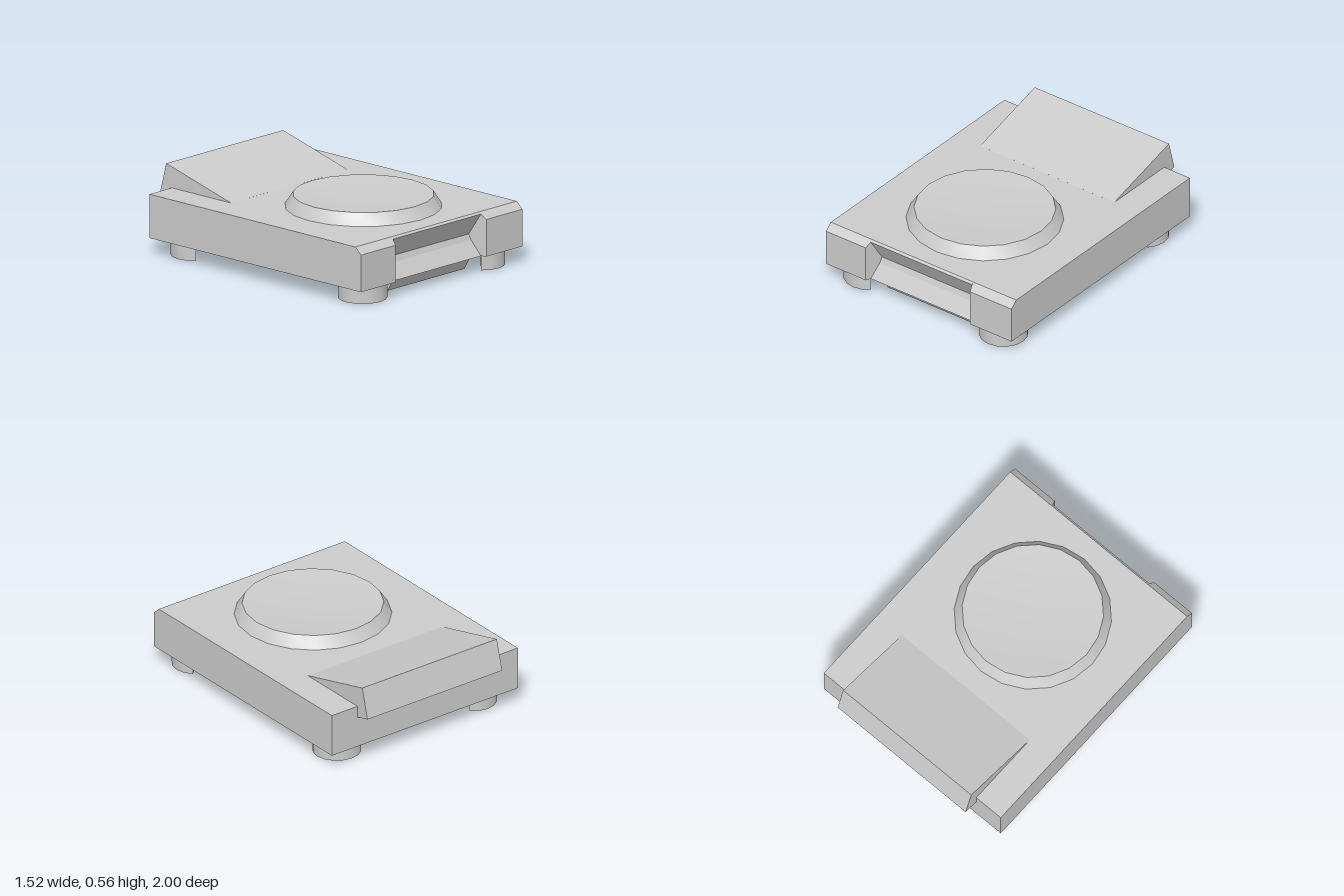
import * as THREE from 'three';
import { toCreasedNormals } from 'three/addons/utils/BufferGeometryUtils.js';

const material = new THREE.MeshStandardMaterial({ color: 0xcccccc });

function add(group, name, geometry) {
  const mesh = new THREE.Mesh(geometry, material);
  mesh.name = name;
  group.add(mesh);
  return mesh;
}

const polygon = (points) => new THREE.Shape(points.map(([a, b]) => new THREE.Vector2(a, b)));

// Side profile given as [z, y], extruded across x from x0 to x1
function across(points, x0, x1) {
  const g = new THREE.ExtrudeGeometry(polygon(points), { depth: x1 - x0, bevelEnabled: false });
  return g.rotateY(-Math.PI / 2).translate(x1, 0, 0);
}

// Plan shape drawn as (x, -z), extruded upwards from y0 to y1
function upward(shape, y0, y1, options = {}) {
  const g = new THREE.ExtrudeGeometry(shape, { depth: y1 - y0, bevelEnabled: false, ...options });
  return g.rotateX(-Math.PI / 2).translate(0, y0, 0);
}

// Slab with a tapered notch in the front and a chamfered front top edge
function bodyGeometry() {
  const plan = [
    [-0.76, -1], [-0.435, -1], [-0.39, -0.885], [0.375, -0.885],
    [0.42, -1], [0.76, -1], [0.76, 0.89], [-0.76, 0.89],
  ];
  const g = upward(polygon(plan), 0.11, 0.405, { steps: 2 });
  const p = g.attributes.position;
  for (let i = 0; i < p.count; i++) {
    const x = p.getX(i), y = p.getY(i);
    if (y > 0.2 && y < 0.3) p.setY(i, 0.36);
    if (y > 0.4 && p.getZ(i) > 0.99) {
      p.setZ(i, 0.95);
      if (Math.abs(x) < 0.5) p.setX(i, x - Math.sign(x) * 0.02);
    }
  }
  g.computeVertexNormals();
  return g;
}

export function createModel() {
  const model = new THREE.Group();
  model.name = 'model';

  add(model, 'body', bodyGeometry());

  // Hollow groove at the back of the front notch
  add(model, 'frontGroove', across([
    [0.88, 0.11], [0.965, 0.11], [0.9, 0.21], [0.885, 0.25],
    [0.965, 0.392], [0.95, 0.405], [0.88, 0.405],
  ], -0.425, 0.41));

  // Round raised pad with a shallow dished top
  const pad = new THREE.LatheGeometry([
    new THREE.Vector2(0.515, 0.4), new THREE.Vector2(0.46, 0.485), new THREE.Vector2(0, 0.45),
  ], 20);
  add(model, 'dishedPad', toCreasedNormals(pad, 0.5)).position.z = 0.3;

  // Tilted block sunk into the rear
  const block = add(model, 'rearBlock', new THREE.BoxGeometry(1.1, 0.215, 0.6));
  block.position.set(0, 0.379, -0.678);
  block.rotation.x = Math.PI / 12;

  // Underside plate with sloped ends
  add(model, 'bottomPlate', across([
    [-0.74, 0.013], [0.86, 0.013], [0.92, 0.115], [-0.8, 0.115],
  ], -0.36, 0.36));

  // Half-round feet, the flat side facing the middle
  for (const sx of [-1, 1]) {
    for (const [sz, z] of [[1, 0.82], [-1, -0.675]]) {
      const out = Math.atan2(-sz, sx);
      const half = new THREE.Shape();
      half.absarc(0, 0, 0.16, out - Math.PI / 2, out + Math.PI / 2, false);
      const g = toCreasedNormals(upward(half, 0, 0.115, { curveSegments: 4 }), 0.5);
      const name = (sz > 0 ? 'front' : 'rear') + (sx > 0 ? 'LeftFoot' : 'RightFoot');
      add(model, name, g).position.set(sx * 0.555, 0, z);
    }
  }
  return model;
}
